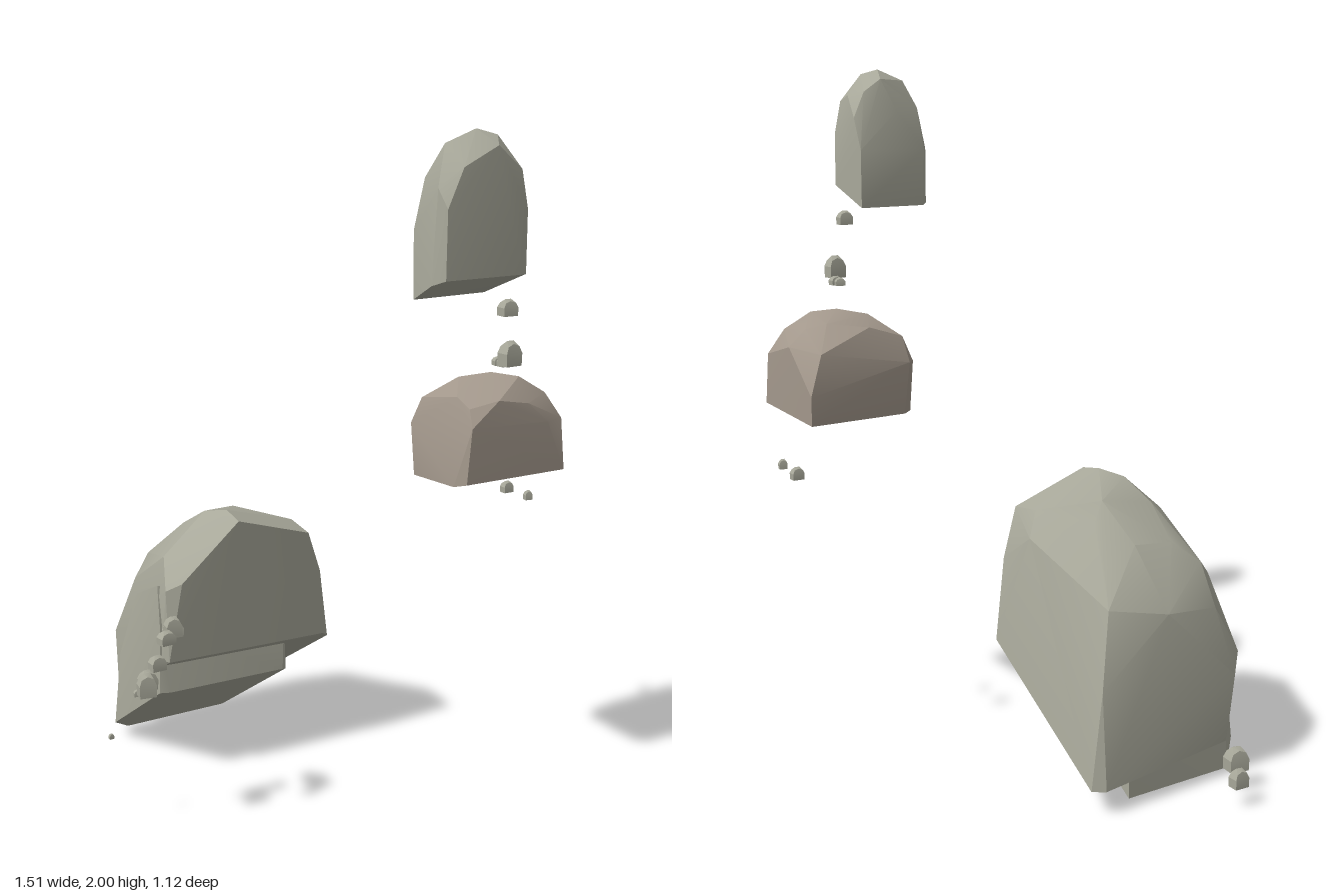
import * as THREE from 'three';
import { ConvexGeometry } from 'three/addons/geometries/ConvexGeometry.js';
import { toCreasedNormals } from 'three/addons/utils/BufferGeometryUtils.js';

const stone = new THREE.MeshStandardMaterial({ color: 0xa8a89a });
const brownStone = new THREE.MeshStandardMaterial({ color: 0xa2978b });

// Chiselled rock: convex hull of corner points, shallow edges smoothed
function rock(name, material, points) {
  const hull = new ConvexGeometry(points.map((p) => new THREE.Vector3(...p)));
  const mesh = new THREE.Mesh(toCreasedNormals(hull, 0.4), material);
  mesh.name = name;
  return mesh;
}

// Unit pebble: a small block with an arched top, standing on y = 0
function pebblePoints() {
  const points = [];
  for (const z of [-0.36, 0.36]) {
    points.push([-0.48, 0, z], [0.48, 0, z]);
    for (let i = 0; i <= 4; i++) {
      const a = (i / 4) * Math.PI;
      points.push([0.5 * Math.cos(a), 0.5 + 0.38 * Math.sin(a), z * (1 - 0.25 * Math.sin(a))]);
    }
  }
  points.push([-0.2, 0.98, 0], [0.2, 0.98, 0]);
  return points;
}

export function createModel() {
  const group = new THREE.Group();
  group.name = 'floatingRocks';

  // Large boulder: domed cap over a slanted underside
  group.add(rock('boulderCap', stone, [
    // slanted underside
    [0, 0.39, -0.2], [0, 0.365, -0.25], [-0.35, 0.07, -0.56], [-0.39, 0.07, -0.55],
    [-0.67, 0.1, -0.2], [-0.67, 0.15, -0.1], [-0.4, 0.395, 0.18], [-0.37, 0.395, 0.195],
    // front face rim
    [-0.01, 0.6, -0.2], [-0.03, 0.74, -0.14], [-0.19, 0.82, 0.06], [-0.33, 0.645, 0.18], [-0.38, 0.62, 0.19],
    // crown
    [-0.25, 0.835, 0], [-0.11, 0.755, -0.22], [-0.11, 0.69, -0.29], [-0.33, 0.82, -0.02],
    [-0.42, 0.76, -0.07], [-0.42, 0.7, 0.1], [-0.3, 0.79, -0.2], [-0.29, 0.74, -0.26],
    // back slope and rear corners
    [-0.5, 0.68, -0.19], [-0.41, 0.69, -0.28], [-0.34, 0.64, -0.36], [-0.37, 0.55, -0.45],
    [-0.59, 0.56, -0.07], [-0.58, 0.62, -0.16], [-0.63, 0.5, -0.2], [-0.52, 0.52, -0.35],
    [-0.69, 0.35, -0.13], [-0.69, 0.3, -0.19], [-0.37, 0.34, -0.52],
  ]));

  // Narrower block set into the boulder's underside
  group.add(rock('boulderBase', stone, [
    [-0.41, 0.285, 0.18], [-0.38, 0.285, 0.165], [-0.11, 0.285, -0.12], [-0.11, 0.275, -0.15],
    [-0.43, 0, -0.43], [-0.67, 0, -0.16], [-0.67, 0.055, -0.06],
    [-0.11, 0.5, -0.14], [-0.43, 0.25, -0.43], [-0.66, 0.25, -0.15],
    [-0.405, 0.5, 0.18], [-0.425, 0.62, 0.145], [-0.56, 0.53, -0.01], [-0.645, 0.3, -0.06],
  ]));

  // Middle rock: broad and low
  group.add(rock('middleRock', brownStone, [
    [0.53, 0.985, -0.315], [0.75, 1.01, -0.13], [0.755, 1.01, -0.115], [0.52, 1.01, 0.15],
    [0.48, 1.0, 0.14], [0.33, 0.985, -0.02], [0.33, 0.985, -0.07],
    [0.53, 1.07, -0.315], [0.51, 1.19, -0.28], [0.74, 1.16, -0.13], [0.71, 1.16, -0.07],
    [0.66, 1.22, -0.02], [0.59, 1.24, 0.065], [0.53, 1.17, 0.14], [0.515, 1.22, 0.11],
    [0.47, 1.245, 0.07], [0.345, 1.215, -0.04], [0.316, 1.14, -0.06], [0.316, 1.14, -0.03],
    [0.45, 1.28, -0.05], [0.54, 1.295, -0.07], [0.62, 1.285, -0.08], [0.69, 1.235, -0.12],
    [0.63, 1.2, -0.23], [0.59, 1.25, -0.2], [0.53, 1.265, -0.18], [0.42, 1.25, -0.12],
  ]));

  // Top rock: tall and narrow
  group.add(rock('topRock', stone, [
    [0.57, 1.57, 0.25], [0.695, 1.635, 0.35], [0.69, 1.635, 0.365], [0.53, 1.635, 0.555],
    [0.49, 1.62, 0.54], [0.43, 1.575, 0.475], [0.425, 1.57, 0.43],
    [0.57, 1.75, 0.25], [0.6, 1.85, 0.275], [0.695, 1.8, 0.355], [0.68, 1.9, 0.37],
    [0.63, 1.96, 0.43], [0.56, 1.91, 0.51], [0.53, 1.81, 0.55], [0.5, 1.86, 0.53],
    [0.42, 1.75, 0.43], [0.425, 1.75, 0.46], [0.45, 1.88, 0.455], [0.5, 1.965, 0.46],
    [0.57, 2.0, 0.42], [0.62, 1.985, 0.4], [0.64, 1.92, 0.33], [0.58, 1.93, 0.315],
    [0.54, 1.97, 0.36], [0.49, 1.87, 0.37],
  ]));

  // Pebbles: centre x, base y, centre z, width, height
  const pebbles = [
    [0.64, 1.515, 0.28, 0.045, 0.045],
    [0.63, 1.36, 0.16, 0.055, 0.07],
    [0.585, 1.345, 0.08, 0.03, 0.025],
    [0.605, 1.345, 0.095, 0.035, 0.028],
    [0.545, 0.85, -0.4, 0.035, 0.037],
    [0.625, 0.855, -0.313, 0.024, 0.03],
    [-0.24, 0.595, 0.535, 0.045, 0.04],
    [-0.235, 0.61, 0.498, 0.045, 0.055],
    [-0.25, 0.59, 0.457, 0.05, 0.05],
    [-0.272, 0.58, 0.432, 0.035, 0.033],
    [-0.305, 0.43, 0.53, 0.05, 0.07],
    [-0.322, 0.43, 0.482, 0.05, 0.06],
    [-0.298, 0.485, 0.465, 0.045, 0.045],
    [-0.345, 0.415, 0.505, 0.02, 0.02],
    [-0.425, 0.278, 0.515, 0.014, 0.016],
    [-0.73, 0.055, -0.395, 0.046, 0.055],
    [-0.71, 0.055, -0.285, 0.06, 0.07],
  ];
  const template = rock('pebble', stone, pebblePoints());
  pebbles.forEach(([x, y, z, width, height], i) => {
    const pebble = template.clone();
    pebble.name = `pebble${i + 1}`;
    pebble.position.set(x, y, z);
    pebble.scale.set(width, height, width);
    pebble.rotation.y = Math.PI / 4 + 0.15 * Math.sin(i * 2.3);
    group.add(pebble);
  });

  return group;
}
